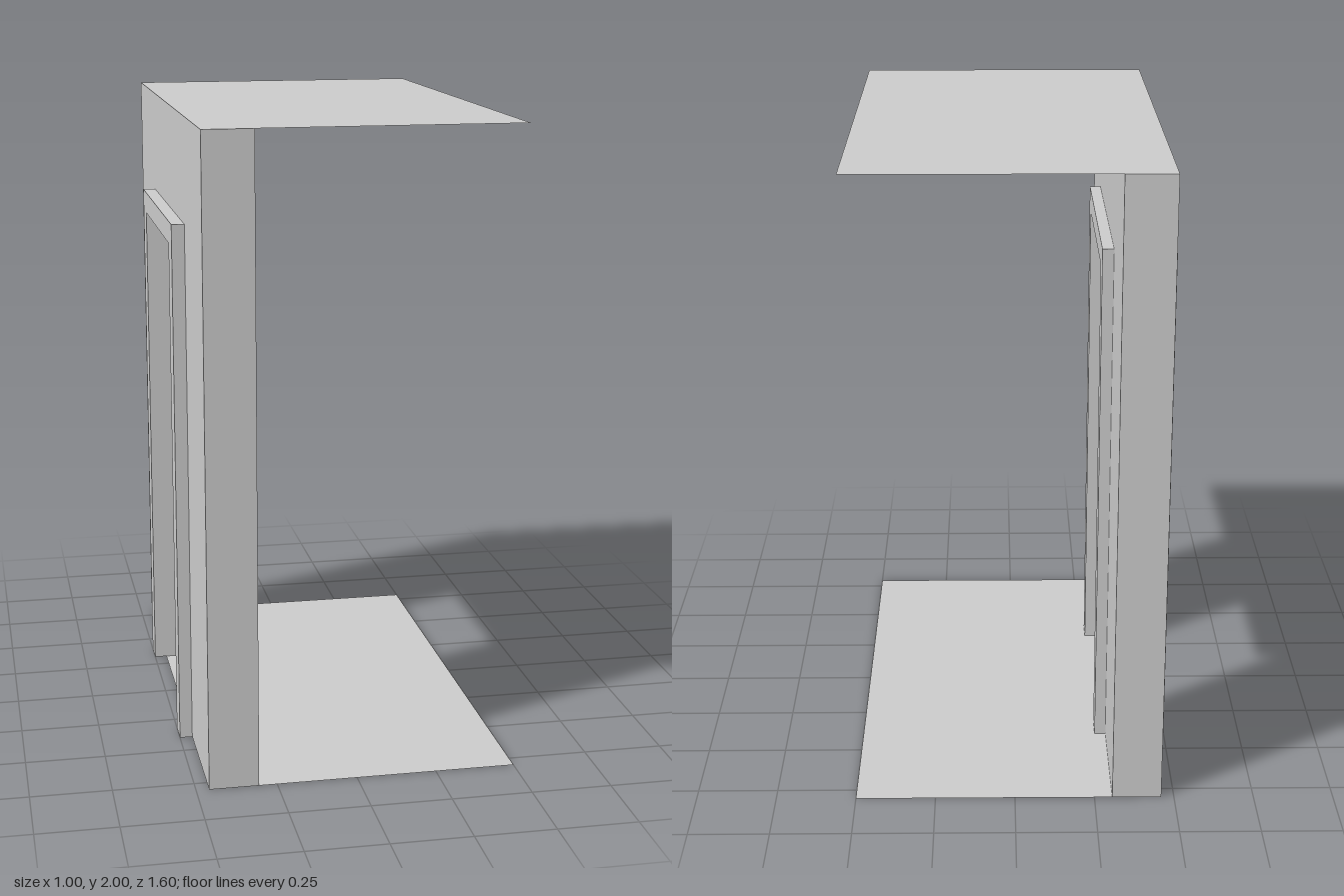
import * as THREE from 'three';

export function createModel() {
  const model = new THREE.Group();
  const grey = new THREE.MeshStandardMaterial({ color: 0xcccccc, flatShading: true });
  const sheet = new THREE.MeshStandardMaterial({ color: 0xcccccc, side: THREE.DoubleSide });

  // Upright frame open at the bottom, running from x0 to x1
  function portal(name, outerHalf, outerTop, innerHalf, innerTop, x0, x1) {
    const outline = [
      [-outerHalf, 0], [-innerHalf, 0], [-innerHalf, innerTop], [innerHalf, innerTop],
      [innerHalf, 0], [outerHalf, 0], [outerHalf, outerTop], [-outerHalf, outerTop],
    ].map(([z, y]) => new THREE.Vector2(z, y));
    const geometry = new THREE.ExtrudeGeometry(new THREE.Shape(outline), {
      depth: x1 - x0, bevelEnabled: false,
    });
    geometry.rotateY(-Math.PI / 2).translate(x1, 0, 0);
    const mesh = new THREE.Mesh(geometry, grey);
    mesh.name = name;
    model.add(mesh);
  }

  // Wall with its doorway, a casing on each face and the door stop inside
  portal('wall', 0.8, 2, 0.32, 1.603, -0.46, -0.306);
  portal('outerCasing', 0.4, 1.672, 0.32, 1.603, -0.5, -0.46);
  portal('innerCasing', 0.4, 1.672, 0.32, 1.603, -0.306, -0.27);
  portal('doorStop', 0.32, 1.603, 0.3, 1.582, -0.397, -0.343);

  // Thin floor and ceiling
  for (const [name, y] of [['floor', 0], ['ceiling', 2]]) {
    const mesh = new THREE.Mesh(new THREE.PlaneGeometry(0.96, 1.6).rotateX(-Math.PI / 2), sheet);
    mesh.position.set(0.02, y, 0);
    mesh.name = name;
    model.add(mesh);
  }

  return model;
}
